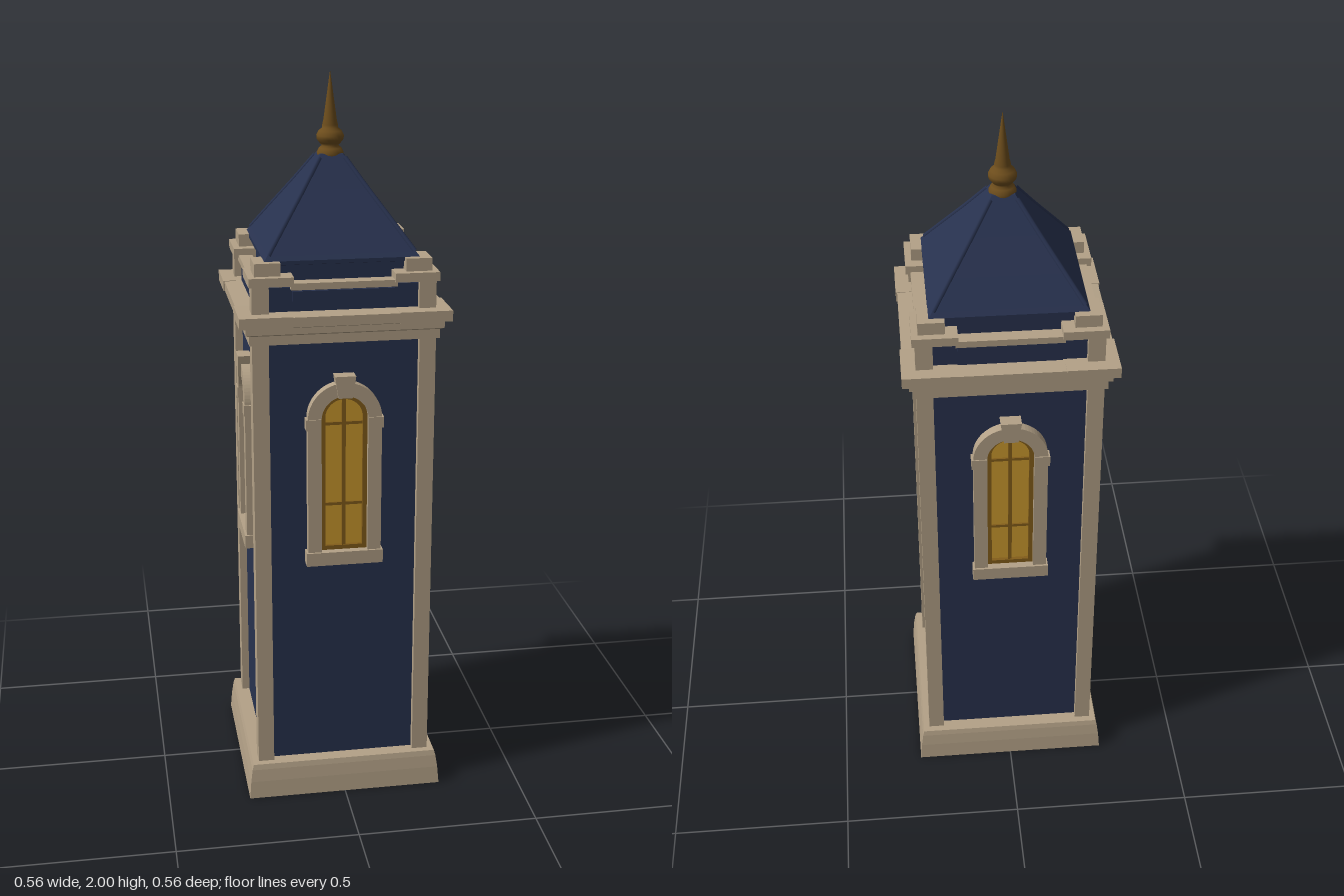
import * as THREE from 'three';

const paint = (name, color) => {
  const m = new THREE.MeshStandardMaterial({ color });
  m.name = name;
  return m;
};

export function createModel() {
  const stone = paint('stone', 0xb3a187);
  const blue = paint('slate blue', 0x28324f);
  const glass = paint('amber glass', 0xcc9a2e);
  const gilt = paint('dull gold', 0x835d1a);
  const bronze = paint('bronze', 0x6d4d1c);
  const dark = paint('dark interior', 0x45433f);

  const tower = new THREE.Group();
  tower.name = 'tower';

  const add = (parent, name, geometry, material, x = 0, y = 0, z = 0) => {
    const mesh = new THREE.Mesh(geometry, material);
    mesh.name = name;
    mesh.position.set(x, y, z);
    parent.add(mesh);
    return mesh;
  };
  // Box given by its lower and upper limits
  const block = (parent, name, material, x0, x1, y0, y1, z0, z1) =>
    add(parent, name, new THREE.BoxGeometry(x1 - x0, y1 - y0, z1 - z0), material,
      (x0 + x1) / 2, (y0 + y1) / 2, (z0 + z1) / 2);
  // Profile of [half width, height] swept around a square plan
  const square = (name, profile, material) => {
    const pts = profile.map(([h, y]) => new THREE.Vector2(h * Math.SQRT2, y));
    const g = new THREE.LatheGeometry(pts, 4, Math.PI / 4).toNonIndexed();
    g.computeVertexNormals();
    return add(tower, name, g, material);
  };

  // Plinth, hollow underneath
  square('plinth', [[0.255, 0], [0.274, 0], [0.27, 0.05], [0.265, 0.085], [0.261, 0.1], [0.2, 0.1]], stone);
  square('underside', [[0, 0.05], [0.2, 0.05], [0.2, 0.001], [0.258, 0.001]], dark);

  // Shaft
  block(tower, 'walls', blue, -0.223, 0.223, 0.06, 1.35, -0.223, 0.223);

  // Cornice in steps
  square('cornice', [[0.21, 1.33], [0.252, 1.33], [0.252, 1.355], [0.262, 1.36], [0.262, 1.377],
    [0.276, 1.382], [0.276, 1.408], [0.18, 1.412]], stone);

  // Parapet and the drum below the roof
  block(tower, 'parapetWall', blue, -0.222, 0.222, 1.4, 1.475, -0.222, 0.222);
  block(tower, 'roofDrum', blue, -0.19, 0.19, 1.46, 1.535, -0.19, 0.19);
  for (let i = 0; i < 4; i++) {
    const side = new THREE.Group();
    side.name = 'parapetSide';
    side.rotation.y = i * Math.PI / 2;
    block(side, 'rail', stone, -0.14, 0.14, 1.47, 1.488, 0.2, 0.238);
    block(side, 'parapetPanel', blue, -0.135, 0.135, 1.412, 1.465, 0.22, 0.229);
    tower.add(side);
  }

  // Corner pilasters, cornice corners and stepped caps
  for (const sx of [-1, 1]) for (const sz of [-1, 1]) {
    const corner = (name, y0, y1, x0, x1, z0, z1) =>
      add(tower, name, new THREE.BoxGeometry(x1 - x0, y1 - y0, z1 - z0), stone,
        sx * (x0 + x1) / 2, (y0 + y1) / 2, sz * (z0 + z1) / 2);
    corner('pilaster', 0.09, 1.34, 0.2, 0.244, 0.19, 0.242);
    corner('corniceCorner', 1.381, 1.41, 0.14, 0.28, 0.14, 0.278);
    corner('parapetPost', 1.4, 1.485, 0.198, 0.243, 0.19, 0.24);
    corner('lowerCap', 1.482, 1.506, 0.133, 0.251, 0.112, 0.246);
    corner('upperCap', 1.5, 1.54, 0.165, 0.234, 0.142, 0.226);
  }

  // Roof with raised hips
  const roofProfile = [[0.19, 1.526], [0.205, 1.53], [0.205, 1.54], [0.196, 1.552],
    [0.147, 1.62], [0.089, 1.7], [0.037, 1.775], [0.03, 1.785], [0, 1.785]];
  square('roof', roofProfile, blue);
  for (const sx of [-1, 1]) for (const sz of [-1, 1]) {
    const line = roofProfile.slice(3, 7).map(([h, y]) => new THREE.Vector3(sx * (h - 0.003), y, sz * (h - 0.003)));
    add(tower, 'hipRidge', new THREE.TubeGeometry(new THREE.CatmullRomCurve3(line), 8, 0.007, 8), blue);
  }

  // Finial
  const finial = [[0.034, 1.775], [0.036, 1.785], [0.03, 1.797], [0.022, 1.803], [0.028, 1.81],
    [0.036, 1.82], [0.037, 1.83], [0.031, 1.842], [0.021, 1.85], [0.021, 1.858], [0.018, 1.87],
    [0.009, 1.935], [0, 2]].map(([r, y]) => new THREE.Vector2(r, y));
  add(tower, 'finial', new THREE.LatheGeometry(finial, 24), bronze);

  // Round-headed outline
  const arch = (w, y0, ys, Type = THREE.Shape) => {
    const s = new Type();
    s.moveTo(-w, y0);
    s.lineTo(w, y0);
    s.lineTo(w, ys);
    s.absarc(0, ys, w, 0, Math.PI, false);
    s.lineTo(-w, y0);
    return s;
  };
  const archRing = (outer, inner, depth) => {
    outer.holes.push(inner);
    return new THREE.ExtrudeGeometry(outer, { depth, bevelEnabled: false, curveSegments: 16 });
  };

  // Windows on the front, back and right-hand side
  for (const [name, angle] of [['frontWindow', 0], ['backWindow', Math.PI], ['rightWindow', -Math.PI / 2]]) {
    const w = new THREE.Group();
    w.name = name;
    w.rotation.y = angle;
    add(w, 'surround', archRing(arch(0.1, 0.72, 1.118), arch(0.063, 0.738, 1.118, THREE.Path), 0.031),
      stone, 0, 0, 0.22);
    block(w, 'sill', stone, -0.105, 0.105, 0.7, 0.738, 0.22, 0.257);
    for (const s of [-1, 1])
      add(w, 'impost', new THREE.BoxGeometry(0.041, 0.03, 0.034), stone, s * 0.0845, 1.105, 0.237);
    // Keystone, wider at the top
    const key = new THREE.Shape([[-0.019, 1.178], [0.019, 1.178], [0.028, 1.238], [-0.028, 1.238]]
      .map(([x, y]) => new THREE.Vector2(x, y)));
    add(w, 'keystone', new THREE.ExtrudeGeometry(key, { depth: 0.04, bevelEnabled: false }), stone, 0, 0, 0.22);
    // Glazing
    add(w, 'glass', new THREE.ShapeGeometry(arch(0.064, 0.736, 1.118), 16), glass, 0, 0, 0.226);
    add(w, 'sash', archRing(arch(0.064, 0.736, 1.118), arch(0.051, 0.75, 1.118, THREE.Path), 0.014),
      gilt, 0, 0, 0.222);
    block(w, 'mullion', gilt, -0.005, 0.005, 0.745, 1.175, 0.223, 0.233);
    for (const y of [0.87, 1.1]) block(w, 'glazingBar', gilt, -0.055, 0.055, y - 0.004, y + 0.004, 0.223, 0.231);
    tower.add(w);
  }

  return tower;
}
